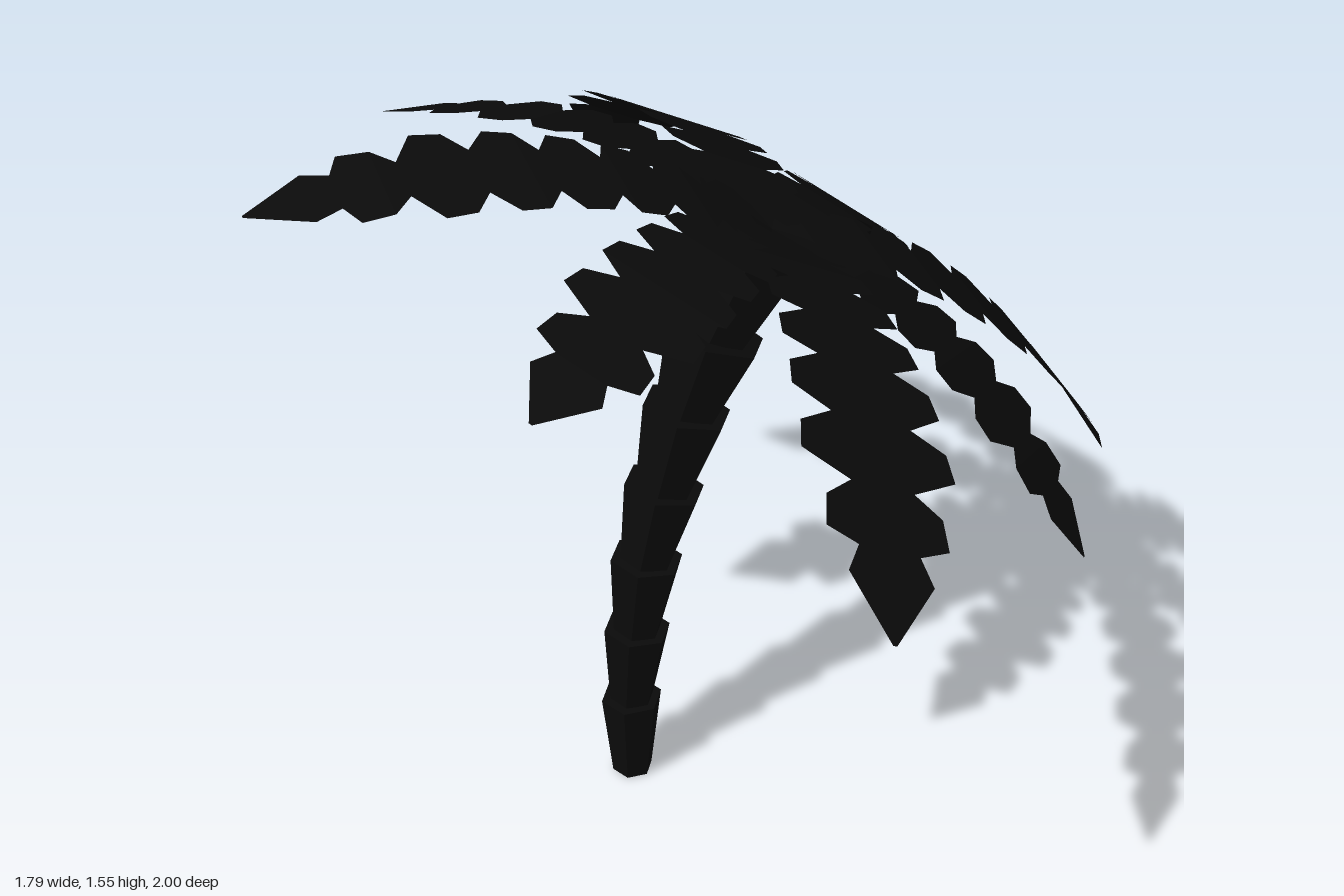
import * as THREE from 'three';

// Flat leaf ribbon along +x: rows of [distance, half width], arched downward
function frondGeometry() {
  const rows = [[0, 0.04]];
  const teeth = [[0.1, 0.11], [0.2, 0.13], [0.31, 0.14], [0.42, 0.15], [0.54, 0.16], [0.67, 0.165], [0.8, 0.13]];
  for (const [r, w] of teeth) {
    rows.push([r - 0.055, w * 0.52], [r - 0.02, w * 0.95], [r + 0.035, w]);
  }
  rows.push([0.855, 0.065], [0.9, 0.09], [1, 0.004]);

  const positions = [];
  const index = [];
  rows.forEach(([r, w], i) => {
    const y = 0.197 * r - 0.467 * r * r;
    positions.push(r, y, w, r, y, -w);
    if (i > 0) {
      const a = 2 * (i - 1);
      index.push(a, a + 2, a + 1, a + 1, a + 2, a + 3);
    }
  });
  const geometry = new THREE.BufferGeometry();
  geometry.setAttribute('position', new THREE.Float32BufferAttribute(positions, 3));
  geometry.setIndex(index);
  geometry.computeVertexNormals();
  return geometry;
}

export function createModel() {
  const model = new THREE.Group();
  model.name = 'palmTree';
  const black = new THREE.MeshStandardMaterial({ color: 0x0b0b0b, flatShading: true, side: THREE.DoubleSide });
  black.name = 'black';

  // Curved trunk of stacked six-sided cups, each wider at its top
  const trunk = new THREE.Group();
  trunk.name = 'trunk';
  const joints = [[-0.19, 0], [-0.188, 0.203], [-0.172, 0.39], [-0.148, 0.573],
    [-0.107, 0.752], [-0.057, 0.935], [0.004, 1.105], [0.1, 1.3]];
  const topRadii = [0.067, 0.073, 0.079, 0.088, 0.096, 0.107, 0.112];
  const up = new THREE.Vector3(0, 1, 0);
  topRadii.forEach((radius, i) => {
    const start = new THREE.Vector3(...joints[i], 0);
    const end = new THREE.Vector3(...joints[i + 1], 0);
    const direction = end.clone().sub(start);
    const geometry = new THREE.CylinderGeometry(radius, radius * 0.66, direction.length(), 6);
    geometry.rotateY(Math.PI / 6);
    const segment = new THREE.Mesh(geometry, black);
    segment.name = 'trunkSegment' + (i + 1);
    segment.position.copy(start).add(end).multiplyScalar(0.5);
    segment.quaternion.setFromUnitVectors(up, direction.normalize());
    trunk.add(segment);
  });
  model.add(trunk);

  // Crown of eight fronds, tilted with the trunk; diagonal ones are shorter
  const crown = new THREE.Group();
  crown.name = 'crown';
  crown.position.set(0.12, 1.32, 0);
  crown.rotation.z = -THREE.MathUtils.degToRad(26.5);
  const leaf = frondGeometry();
  for (let i = 0; i < 8; i++) {
    const frond = new THREE.Mesh(leaf, black);
    frond.name = 'frond' + (i + 1);
    frond.rotation.y = (i * Math.PI) / 4;
    frond.scale.setScalar(i % 2 ? 0.85 : 1);
    crown.add(frond);
  }
  model.add(crown);
  return model;
}
